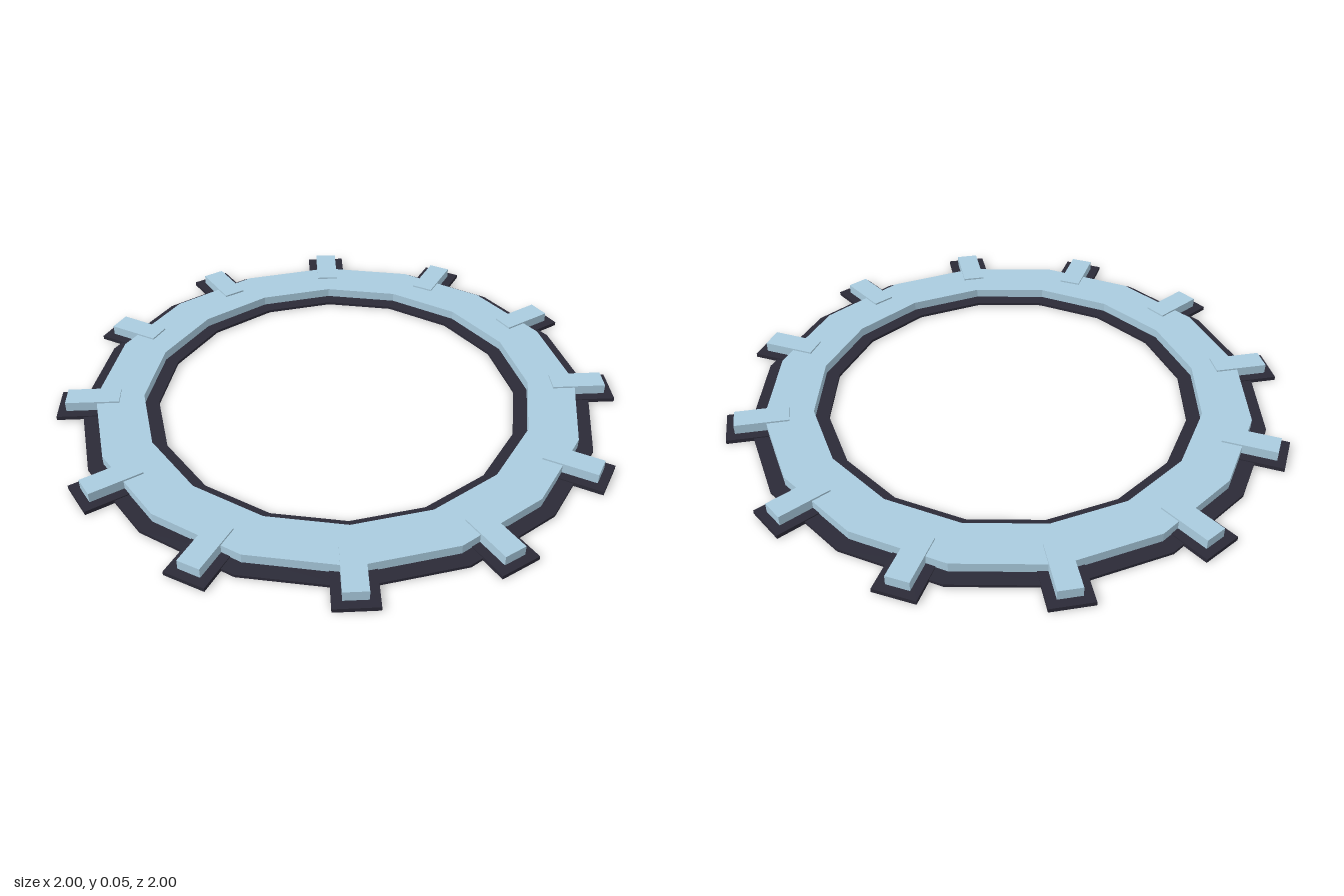
import * as THREE from 'three';

const SIDES = 16;
const TEETH = 12;

// Regular polygon with a corner on the x axis
function polygon(radius, Type) {
  const points = [];
  for (let i = 0; i < SIDES; i++) {
    const a = (i / SIDES) * Math.PI * 2;
    points.push(new THREE.Vector2(Math.cos(a) * radius, Math.sin(a) * radius));
  }
  return new Type(points);
}

// Flat faceted ring lying between two heights
function ring(name, inner, outer, bottom, top, material) {
  const shape = polygon(outer, THREE.Shape);
  shape.holes.push(polygon(inner, THREE.Path));
  const geometry = new THREE.ExtrudeGeometry(shape, { depth: top - bottom, bevelEnabled: false });
  geometry.rotateX(-Math.PI / 2);
  geometry.translate(0, bottom, 0);
  const mesh = new THREE.Mesh(geometry, material);
  mesh.name = name;
  return mesh;
}

// Radial block pointing outwards along x
function block(name, inner, outer, width, bottom, top, material) {
  const geometry = new THREE.BoxGeometry(outer - inner, top - bottom, width);
  geometry.translate((inner + outer) / 2, (bottom + top) / 2, 0);
  const mesh = new THREE.Mesh(geometry, material);
  mesh.name = name;
  return mesh;
}

export function createModel() {
  const model = new THREE.Group();
  model.name = 'toothedRing';
  const blue = new THREE.MeshStandardMaterial({ color: 0xa9cbde, flatShading: true });
  const dark = new THREE.MeshStandardMaterial({ color: 0x2b2a37, flatShading: true });

  // Dark backing plate and the raised ring on it
  model.add(ring('backingRing', 0.645, 0.92, 0.001, 0.011, dark));
  model.add(ring('raisedRing', 0.695, 0.867, 0.006, 0.044, blue));

  // Teeth, each with a dark border plate
  for (let i = 0; i < TEETH; i++) {
    const tooth = new THREE.Group();
    tooth.name = 'tooth' + (i + 1);
    tooth.add(block('toothBorder', 0.75, 1, 0.145, 0.001, 0.015, dark));
    tooth.add(block('toothBlock', 0.78, 0.97, 0.08, 0, 0.05, blue));
    tooth.rotation.y = (i / TEETH) * Math.PI * 2;
    model.add(tooth);
  }
  return model;
}
